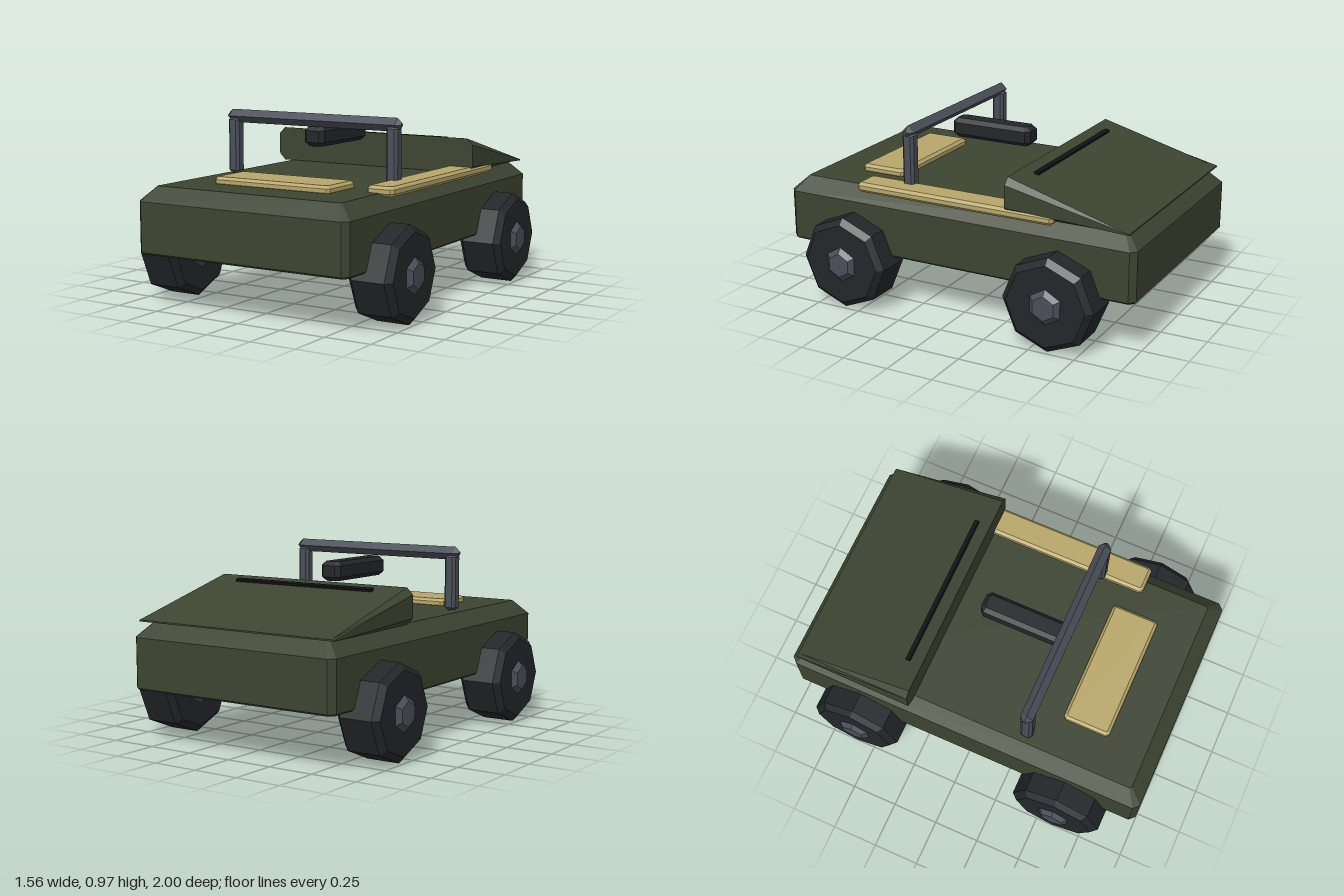
import * as THREE from 'three';

const paint = (color) => new THREE.MeshStandardMaterial({ color, flatShading: true });
const olive = paint(0x3d4431), rubber = paint(0x23262a), metal = paint(0x4a4e58);
const tan = paint(0xb8a76a), black = paint(0x101214);

// Rectangle with cut corners, counter-clockwise
function cutRect(hx, hy, cx, cy = cx) {
  return [
    [hx, -hy + cy], [hx, hy - cy], [hx - cx, hy], [-hx + cx, hy],
    [-hx, hy - cy], [-hx, -hy + cy], [-hx + cx, -hy], [hx - cx, -hy],
  ];
}

// Skin a list of equal rings and close both ends
function loft(rings) {
  const pos = [], n = rings[0].length;
  const tri = (...pts) => pts.forEach((p) => pos.push(...p));
  for (let r = 0; r < rings.length - 1; r++) {
    for (let i = 0; i < n; i++) {
      const j = (i + 1) % n, a = rings[r], b = rings[r + 1];
      tri(a[i], a[j], b[j]);
      tri(a[i], b[j], b[i]);
    }
  }
  const first = rings[0], last = rings[rings.length - 1];
  for (let i = 1; i < n - 1; i++) {
    tri(first[0], first[i + 1], first[i]);
    tri(last[0], last[i], last[i + 1]);
  }
  const geo = new THREE.BufferGeometry();
  geo.setAttribute('position', new THREE.Float32BufferAttribute(pos, 3));
  geo.computeVertexNormals();
  return geo;
}

// Horizontal ring at height y
const level = (y, hx, hz, c) => cutRect(hx, hz, c).map(([x, v]) => [x, y, -v]);

function chamferBox(w, h, d, c) {
  const x = w / 2, y = h / 2, z = d / 2;
  return loft([
    level(-y, x - c, z - c, c * 0.5), level(-y + c, x, z, c),
    level(y - c, x, z, c), level(y, x - c, z - c, c * 0.5),
  ]);
}

// Faceted solid of revolution lying along x, with a corner pointing up
function turned(profile, sides) {
  const pts = profile.map(([r, y]) => new THREE.Vector2(r, y));
  return new THREE.LatheGeometry(pts, sides, Math.PI / 2).rotateZ(Math.PI / 2);
}

export function createModel() {
  const model = new THREE.Group();
  const add = (name, geo, mat, x = 0, y = 0, z = 0, parent = model) => {
    const mesh = new THREE.Mesh(geo, mat);
    mesh.name = name;
    mesh.position.set(x, y, z);
    parent.add(mesh);
    return mesh;
  };

  // Hull with sloped upper edges
  add('hull', loft([
    level(0.285, 0.61, 0.99, 0.025), level(0.295, 0.62, 1, 0.03),
    level(0.555, 0.62, 1, 0.03), level(0.63, 0.545, 0.925, 0.01),
  ]), olive);

  // Wedge-shaped rear deck
  const section = (z, hx, yMid, hy, cx, cy) =>
    cutRect(hx, hy, cx, cy).map(([x, y]) => [x, yMid + y, z]);
  add('rearDeck', loft([
    section(-0.96, 0.605, 0.636, 0.004, 0.02, 0.001),
    section(-0.3, 0.62, 0.726, 0.094, 0.035, 0.035),
  ]), olive);
  const slot = add('deckSlot', new THREE.BoxGeometry(0.86, 0.03, 0.025), black, 0, 0.797, -0.378);
  slot.rotation.x = -0.27;

  // Tan panels
  add('frontPanel', chamferBox(0.69, 0.05, 0.255, 0.015), tan, 0, 0.642, 0.587);
  add('sidePanel', chamferBox(0.15, 0.052, 1.13, 0.015), tan, 0.545, 0.639, 0.005);

  // Roll bar
  const rollBar = new THREE.Group();
  rollBar.name = 'rollBar';
  model.add(rollBar);
  for (const s of [-1, 1]) {
    add('rollBarPost', chamferBox(0.066, 0.3, 0.066, 0.014), metal, s * 0.485, 0.785, 0.32, rollBar);
  }
  add('rollBarTop', turned([
    [0, -0.53], [0.012, -0.53], [0.035, -0.505], [0.035, 0.505], [0.012, 0.53], [0, 0.53],
  ], 4), metal, 0, 0.941, 0.32, rollBar);

  // Block reaching back from the roll bar
  add('centreBlock', chamferBox(0.12, 0.105, 0.465, 0.022), rubber, 0, 0.853, 0.088);

  // Wheels with hexagonal hubs
  const tyre = turned([
    [0, -0.12], [0.215, -0.12], [0.248, -0.09], [0.248, 0.09], [0.215, 0.12], [0, 0.12],
  ], 8);
  const hub = turned([
    [0, -0.143], [0.065, -0.143], [0.1, -0.115], [0.1, 0.115], [0.065, 0.143], [0, 0.143],
  ], 6);
  for (const x of [-0.636, 0.636]) {
    for (const z of [-0.593, 0.593]) {
      const wheel = new THREE.Group();
      wheel.name = 'wheel';
      wheel.position.set(x, 0.25, z);
      model.add(wheel);
      add('tyre', tyre, rubber, 0, 0, 0, wheel);
      add('hub', hub, metal, 0, 0, 0, wheel);
    }
  }
  return model;
}
